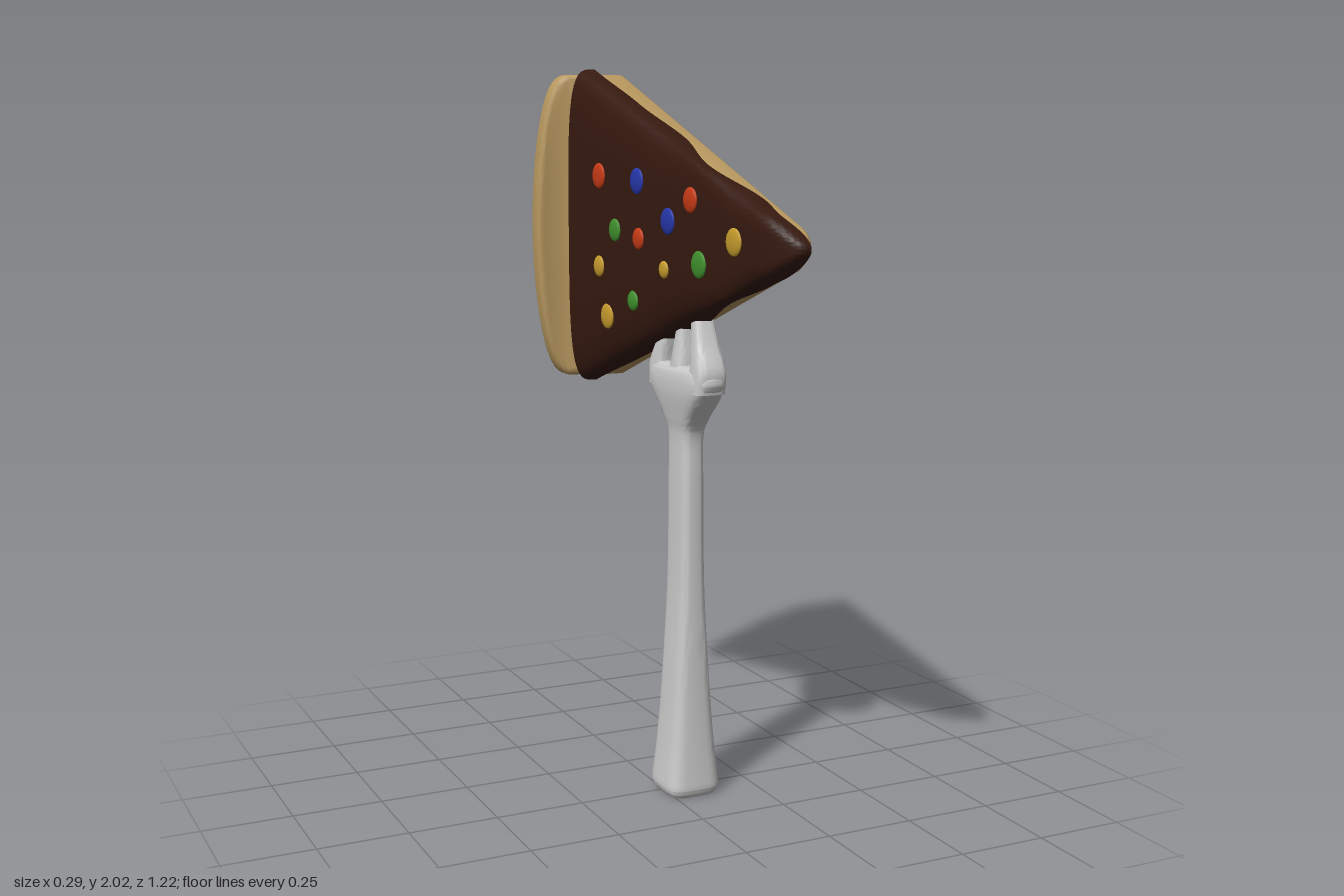
import * as THREE from 'three';
import { toCreasedNormals } from 'three/addons/utils/BufferGeometryUtils.js';

const MID_Y = 1.56;
const material = (color) => new THREE.MeshStandardMaterial({ color });
const clamp01 = (v) => Math.min(1, Math.max(0, v));

function addMesh(parent, name, geometry, mat) {
  const mesh = new THREE.Mesh(geometry, mat);
  mesh.name = name;
  parent.add(mesh);
  return mesh;
}

// Closed solid through equal-length rings of points, with fan caps
function loft(rings, crease = 0.8) {
  const n = rings[0].length;
  const points = rings.flat();
  const index = [];
  for (let r = 0; r < rings.length - 1; r++) {
    for (let i = 0; i < n; i++) {
      const a = r * n + i, b = r * n + (i + 1) % n;
      index.push(a, b, a + n, b, b + n, a + n);
    }
  }
  const ends = [0, rings.length - 1];
  ends.forEach((r, k) => {
    const centre = new THREE.Vector3();
    rings[r].forEach((p) => centre.addScaledVector(p, 1 / n));
    const c = points.push(centre) - 1;
    for (let i = 0; i < n; i++) {
      const a = r * n + i, b = r * n + (i + 1) % n;
      if (k === 0) index.push(c, b, a); else index.push(c, a, b);
    }
  });
  // Turn the faces outward if the signed volume is negative
  let volume = 0;
  const cross = new THREE.Vector3();
  for (let i = 0; i < index.length; i += 3) {
    volume += points[index[i]].dot(cross.crossVectors(points[index[i + 1]], points[index[i + 2]]));
  }
  if (volume < 0) index.reverse();
  const geo = new THREE.BufferGeometry().setFromPoints(points);
  geo.setIndex(index);
  return toCreasedNormals(geo, crease);
}

const power = (v, e) => Math.sign(v) * Math.pow(Math.abs(v), e);

// Upright bar with rounded-square sections: [y, centreX, centreZ, halfX, halfZ]
function bar(sections, steps) {
  const centre = new THREE.CatmullRomCurve3(
    sections.map(([y, x, z]) => new THREE.Vector3(x, y, z)), false, 'catmullrom');
  const size = new THREE.CatmullRomCurve3(
    sections.map(([, , , hx, hz]) => new THREE.Vector3(hx, 0, hz)), false, 'catmullrom');
  const rings = [];
  for (let s = 0; s <= steps; s++) {
    const c = centre.getPoint(s / steps), h = size.getPoint(s / steps);
    const ring = [];
    for (let i = 0; i < 32; i++) {
      const a = (i / 32) * Math.PI * 2;
      ring.push(new THREE.Vector3(
        c.x + h.x * power(Math.cos(a), 0.5), c.y, c.z + h.z * power(Math.sin(a), 0.5)));
    }
    rings.push(ring);
  }
  return loft(rings);
}

// Smooth steps between [z, value] pairs
function wave(table, z) {
  let i = 0;
  while (i < table.length - 2 && z > table[i + 1][0]) i++;
  const [z0, v0] = table[i], [z1, v1] = table[i + 1];
  return THREE.MathUtils.lerp(v0, v1, THREE.MathUtils.smoothstep(z, z0, z1));
}

// Icing surface height and slice half width along the slice
function icingTop(z) {
  const base = -0.015 + 0.077 * z;
  const q = clamp01((z - 0.45) / 0.16);
  return base + (0.095 - base) * (1 - Math.sqrt(1 - q * q));
}
const halfWidth = (z) => 0.364 * (0.69 - z);

function icingGeometry() {
  const upperDrip = [[-0.53, 0.03], [-0.25, 0.045], [0, 0.065], [0.18, 0.04], [0.42, 0.085], [0.5, 0.078], [0.61, 0.105]];
  const lowerDrip = [[-0.53, 0.03], [-0.2, 0.06], [0.06, 0.09], [0.3, 0.05], [0.45, 0.082], [0.61, 0.105]];
  const rings = [];
  for (let s = 0; s <= 80; s++) {
    const z = -0.53 + 1.14 * Math.sin((s / 80) * Math.PI / 2);
    const q = clamp01((z - 0.5) / 0.111);
    const h = (halfWidth(z) + 0.012) * Math.sqrt(1 - q * q);
    const top = icingTop(z);
    const ring = [];
    for (let i = 0; i <= 40; i++) {
      const a = (i / 40) * Math.PI;
      const drip = wave(i < 20 ? upperDrip : lowerDrip, z);
      ring.push(new THREE.Vector3(
        drip + (top - drip) * Math.pow(Math.max(0, Math.sin(a)), 0.5),
        MID_Y + h * power(Math.cos(a), 0.5), z));
    }
    rings.push(ring);
  }
  return loft(rings);
}

// Flat triangular base with a rounded tip, thinned toward the tip
function baseGeometry() {
  const b = 0.012;
  const shape = new THREE.Shape();
  shape.moveTo(0.57, -0.428);
  shape.lineTo(0.57, 0.428);
  shape.lineTo(0.52, 0.428);
  shape.lineTo(-0.53, halfWidth(0.53) - b);
  shape.quadraticCurveTo(-0.63, 0.012, -0.53, -halfWidth(0.53) + b);
  shape.lineTo(0.52, -0.428);
  const geo = new THREE.ExtrudeGeometry(shape, {
    depth: 0.085 - 2 * b, bevelEnabled: true, bevelSize: b, bevelThickness: b, bevelSegments: 4, curveSegments: 16,
  });
  geo.rotateY(Math.PI / 2);
  geo.translate(0.035 + b, MID_Y, 0);
  const p = geo.attributes.position;
  for (let i = 0; i < p.count; i++) {
    p.setX(i, Math.min(0.12, Math.max(p.getX(i), icingTop(p.getZ(i)) + 0.02)));
  }
  return toCreasedNormals(geo, 0.6);
}

// Raised outer crust with a bowed rim
function crustGeometry() {
  const b = 0.02;
  const shape = new THREE.Shape();
  shape.moveTo(0.1, -0.42);
  shape.lineTo(0.1, 0.42);
  shape.lineTo(-0.045, 0.42);
  shape.bezierCurveTo(-0.095, 0.41, -0.125, 0.19, -0.125, 0);
  shape.bezierCurveTo(-0.125, -0.19, -0.095, -0.41, -0.045, -0.42);
  const geo = new THREE.ExtrudeGeometry(shape, {
    depth: 0.09 - 2 * b, bevelEnabled: true, bevelSize: b, bevelThickness: b, bevelSegments: 5, curveSegments: 24,
  });
  geo.translate(0, MID_Y, -0.61 + b);
  const p = geo.attributes.position;
  for (let i = 0; i < p.count; i++) {
    // Inner face slopes back toward the rim
    const z = p.getZ(i);
    const t = clamp01((z + 0.59) / 0.07);
    p.setZ(i, z - 0.028 * t * THREE.MathUtils.smoothstep(-p.getX(i), -0.02, 0.1));
  }
  return toCreasedNormals(geo, 0.7);
}

export function createModel() {
  const model = new THREE.Group();
  const slice = new THREE.Group();
  slice.name = 'slice';
  const fork = new THREE.Group();
  fork.name = 'fork';
  model.add(slice, fork);

  const dough = material(0xb8985f);
  addMesh(slice, 'doughBase', baseGeometry(), dough);
  addMesh(slice, 'crust', crustGeometry(), dough);
  addMesh(slice, 'icing', icingGeometry(), material(0x35190f));

  // Candy dots: [z, y, radius] per colour
  const candies = [
    ['red', 0xc63a16, [[-0.34, 1.715, 0.036], [0.165, 1.665, 0.034], [-0.11, 1.55, 0.03]]],
    ['blue', 0x2636a8, [[-0.12, 1.706, 0.036], [0.05, 1.605, 0.036]]],
    ['green', 0x3f8f2c, [[0.21, 1.5, 0.036], [-0.245, 1.567, 0.032], [-0.145, 1.377, 0.028]]],
    ['yellow', 0xc49a2c, [[0.38, 1.568, 0.036], [0.03, 1.475, 0.024], [-0.34, 1.46, 0.03], [-0.3, 1.32, 0.036]]],
  ];
  const dot = new THREE.SphereGeometry(1, 20, 12);
  for (const [name, color, spots] of candies) {
    const mat = material(color);
    for (const [z, y, r] of spots) {
      const v = Math.abs(y - MID_Y) / (halfWidth(z) + 0.012);
      const x = 0.05 + (icingTop(z) - 0.05) * Math.pow(1 - v ** 4, 0.25);
      const candy = addMesh(slice, name + 'Candy', dot, mat);
      candy.position.set(x, y, z);
      candy.scale.set(0.009, r, r);
      candy.rotation.y = 0.077;
    }
  }

  // Fork handle flaring at the foot and widening into the head
  const steel = material(0xcccccc);
  const handle = [
    [0, 0.07, 0.076], [0.02, 0.08, 0.085], [0.06, 0.077, 0.083], [0.15, 0.067, 0.077], [0.3, 0.055, 0.07],
    [0.6, 0.038, 0.062], [0.9, 0.034, 0.06], [1.02, 0.034, 0.06], [1.07, 0.041, 0.085],
    [1.13, 0.05, 0.142], [1.17, 0.051, 0.17], [1.2, 0.046, 0.166], [1.215, 0.036, 0.15],
  ].map(([y, hx, hz]) => [y, 0.06, 0.018, hx, hz]);
  addMesh(fork, 'handle', bar(handle, 72), steel);

  // Three tines leaning together
  for (const [name, side] of [['leftTine', 1], ['middleTine', 0], ['rightTine', -1]]) {
    const tine = [
      [1.15, 0.118, 0.042, 0.045], [1.21, 0.125, 0.04, 0.043], [1.28, 0.102, 0.029, 0.035],
      [1.35, 0.082, 0.02, 0.028], [1.42, 0.068, 0.015, 0.022],
    ].map(([y, off, hz, hx]) => [y, 0.06 + (y - 1.15) * 0.035, 0.02 + side * off, hx, side ? hz : hz * 0.88]);
    addMesh(fork, name, bar(tine, 20), steel);
  }
  return model;
}
